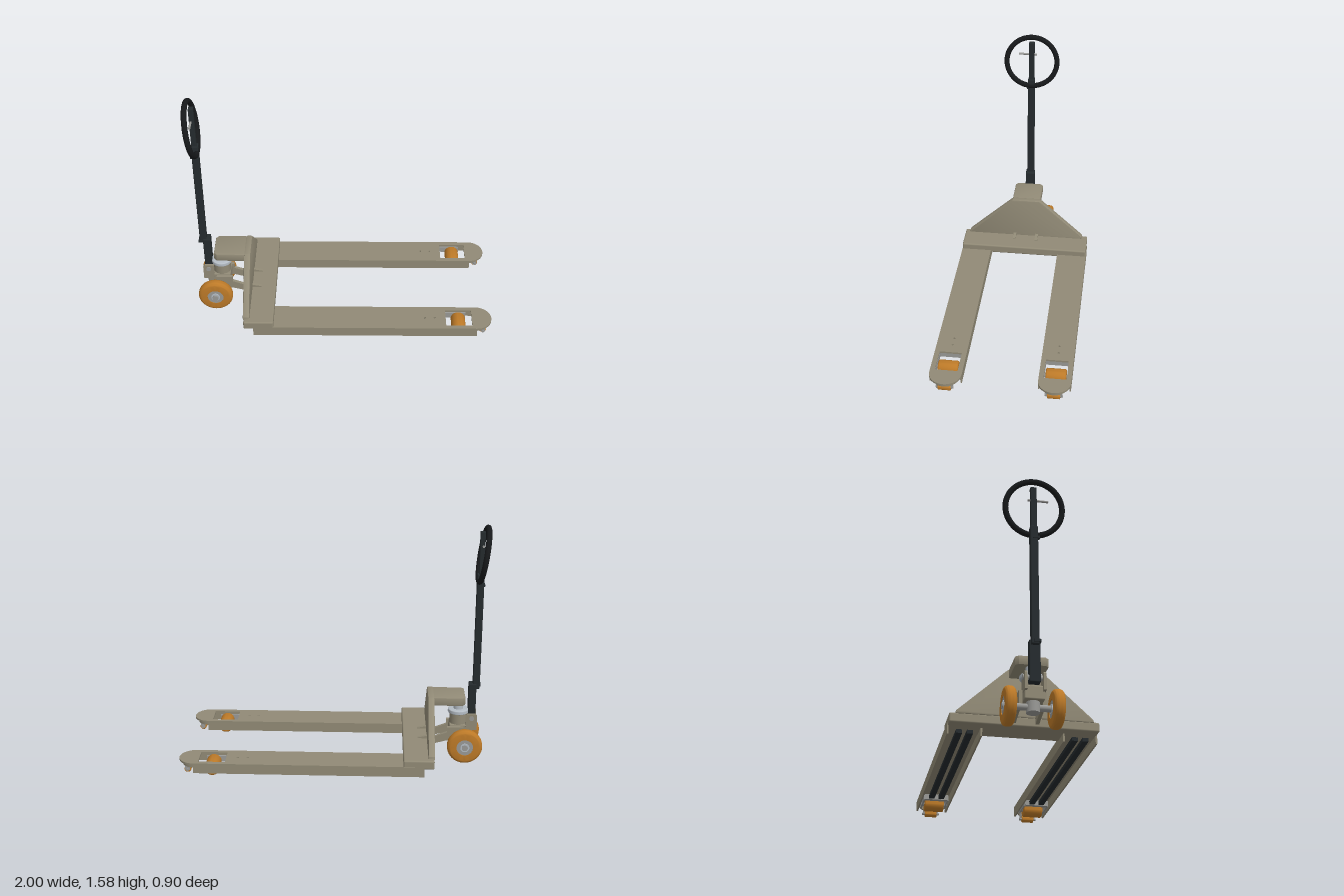
import * as THREE from 'three';
import { RoundedBoxGeometry } from 'three/addons/geometries/RoundedBoxGeometry.js';
import { toCreasedNormals } from 'three/addons/utils/BufferGeometryUtils.js';

const paint = (color) => new THREE.MeshStandardMaterial({ color, side: THREE.DoubleSide });
const BODY = paint(0x918a76), DARK = paint(0x252b2e), BLACK = paint(0x17191b);
const TYRE = paint(0xbd7a28), STEEL = paint(0x999996), CHROME = paint(0xb4bcc4);

function add(parent, name, geo, mat, x = 0, y = 0, z = 0) {
  const m = new THREE.Mesh(geo, mat);
  m.name = name;
  m.position.set(x, y, z);
  parent.add(m);
  return m;
}

// Box given by its limits on each axis; r rounds the edges
function box(parent, name, mat, [x0, x1], [y0, y1], [z0, z1], r = 0) {
  const s = [x1 - x0, y1 - y0, z1 - z0];
  const geo = r ? new RoundedBoxGeometry(...s, 2, r) : new THREE.BoxGeometry(...s);
  return add(parent, name, geo, mat, (x0 + x1) / 2, (y0 + y1) / 2, (z0 + z1) / 2);
}

// Cylinder along z, or upright
const rodZ = (r, len) => new THREE.CylinderGeometry(r, r, len, 28).rotateX(Math.PI / 2);
const rodY = (r, len) => new THREE.CylinderGeometry(r, r, len, 32);

// Polygon through [a, b] points
function poly(points) {
  return new THREE.Shape(points.map(([a, b]) => new THREE.Vector2(a, b)));
}

function extrude(shape, depth, bevel = 0) {
  return new THREE.ExtrudeGeometry(shape, {
    depth: depth - 2 * bevel, curveSegments: 20, bevelEnabled: bevel > 0,
    bevelSize: bevel, bevelThickness: bevel, bevelOffset: -bevel, bevelSegments: 2,
  }).translate(0, 0, bevel);
}

// Wheel turning about z, with shoulders rounded by c
function wheelGeo(r, width, c, bore) {
  const w = width / 2, pts = [new THREE.Vector2(bore, -w)];
  for (const [cy, a0] of [[-w + c, -Math.PI / 2], [w - c, 0]]) {
    for (let i = 0; i <= 6; i++) {
      const a = a0 + (i / 6) * Math.PI / 2;
      pts.push(new THREE.Vector2(r - c + c * Math.cos(a), cy + c * Math.sin(a)));
    }
  }
  pts.push(new THREE.Vector2(bore, w), new THREE.Vector2(bore, -w));
  return toCreasedNormals(new THREE.LatheGeometry(pts, 40).rotateX(Math.PI / 2), 0.6);
}

// One fork, built about z = 0
function makeFork() {
  const g = new THREE.Group();
  const h = 0.104, noseX = 0.893;
  const deck = new THREE.Shape();
  deck.moveTo(-0.6, -h);
  deck.lineTo(noseX, -h);
  deck.absarc(noseX, 0, h, -Math.PI / 2, Math.PI / 2, false);
  deck.lineTo(-0.6, h);
  deck.closePath();
  const win = new THREE.Path();
  win.moveTo(0.69, -0.073);
  win.lineTo(0.69, 0.073);
  win.lineTo(0.865, 0.073);
  win.lineTo(0.865, -0.073);
  win.closePath();
  deck.holes.push(win);
  for (const x of [0.55, 0.615]) {
    const hole = new THREE.Path();
    hole.absarc(x, 0, 0.007, 0, Math.PI * 2, true);
    deck.holes.push(hole);
  }
  add(g, 'forkDeck', toCreasedNormals(extrude(deck, 0.012).rotateX(-Math.PI / 2), 0.5), BODY, 0, 0.092, 0);

  for (const s of [-1, 1]) {
    const z = s * (h - 0.005);
    box(g, 'forkSkirt', BODY, [-0.6, 0.895], [0.035, 0.095], [z - 0.005, z + 0.005]);
    box(g, 'pushRod', DARK, [-0.6, 0.66], [0.045, 0.068], [s * 0.032 - 0.018, s * 0.032 + 0.018]);
    box(g, 'rollerBracket', STEEL, [0.64, 0.83], [0.038, 0.078], [s * 0.079 - 0.005, s * 0.079 + 0.005]);
    box(g, 'entryRollerBracket', STEEL, [0.925, 0.955], [0.03, 0.092], [s * 0.047 - 0.004, s * 0.047 + 0.004]);
  }
  box(g, 'rodYoke', STEEL, [0.63, 0.665], [0.04, 0.075], [-0.08, 0.08]);

  // Curved stiffener below the nose
  const rim = new THREE.Shape();
  rim.absarc(noseX, 0, 0.082, -Math.PI / 2, Math.PI / 2, false);
  rim.absarc(noseX, 0, 0.07, Math.PI / 2, -Math.PI / 2, true);
  add(g, 'noseStiffener', toCreasedNormals(extrude(rim, 0.03).rotateX(-Math.PI / 2), 0.5), BODY, 0, 0.064, 0);

  add(g, 'loadRoller', wheelGeo(0.048, 0.132, 0.01, 0.012), TYRE, 0.778, 0.05, 0);
  add(g, 'loadRollerAxle', rodZ(0.013, 0.18), STEEL, 0.778, 0.05, 0);
  add(g, 'entryRoller', wheelGeo(0.022, 0.082, 0.004, 0.007), TYRE, 0.94, 0.034, 0);
  add(g, 'entryRollerAxle', rodZ(0.009, 0.115), STEEL, 0.94, 0.034, 0);
  return g;
}

export function createModel() {
  const model = new THREE.Group();
  model.name = 'palletTruck';

  for (const s of [-1, 1]) {
    const fork = makeFork();
    fork.name = s > 0 ? 'frontFork' : 'backFork';
    fork.position.z = s * 0.346 - 0.003;
    model.add(fork);
  }

  // Cross beam, sloping shield and top arm
  box(model, 'crossBeam', BODY, [-0.665, -0.465], [0.086, 0.146], [-0.45, 0.447], 0.01);
  const shield = poly([[-0.415, 0.14], [0.415, 0.14], [0.41, 0.16], [0.108, 0.438], [0.095, 0.445],
    [-0.095, 0.445], [-0.108, 0.438], [-0.41, 0.16]]);
  add(model, 'shield', toCreasedNormals(extrude(shield, 0.043, 0.007).rotateY(Math.PI / 2), 0.5), BODY, -0.669, 0, 0);
  const arm = poly([[-0.635, -0.1], [-0.635, 0.1], [-0.855, 0.1], [-0.874, 0.08], [-0.874, -0.08], [-0.855, -0.1]]);
  add(model, 'topArm', toCreasedNormals(extrude(arm, 0.057, 0.006).rotateX(-Math.PI / 2), 0.5), BODY, 0, 0.386, 0);
  const gusset = poly([[-0.63, 0.14], [-0.565, 0.14], [-0.565, 0.152], [-0.63, 0.165]]);
  for (const z of [-0.08, 0.08]) add(model, 'gusset', extrude(gusset, 0.02), BODY, 0, 0, z - 0.01);

  // Link arms between the pump and the cross beam
  const link = poly([[-0.87, 0.14], [-0.76, 0.13], [-0.65, 0.1], [-0.58, 0.1], [-0.58, 0.13],
    [-0.66, 0.15], [-0.76, 0.188], [-0.76, 0.225], [-0.87, 0.225]]);
  for (const z of [-0.07, 0.07]) add(model, 'linkArm', extrude(link, 0.022), BODY, 0, 0, z - 0.011);

  // Hydraulic pump
  const pump = new THREE.Group();
  pump.name = 'pump';
  model.add(pump);
  box(pump, 'pumpBase', BODY, [-0.93, -0.775], [0.15, 0.235], [-0.06, 0.06], 0.008);
  add(pump, 'pumpBarrel', rodY(0.058, 0.09), BODY, -0.835, 0.27, 0);
  add(pump, 'pumpCollar', wheelGeo(0.07, 0.028, 0.008, 0.02).rotateX(Math.PI / 2), CHROME, -0.835, 0.32, 0);
  add(pump, 'pumpRam', rodY(0.032, 0.08), CHROME, -0.835, 0.35, 0);
  const ear = poly([[-0.958, 0.2], [-0.885, 0.2], [-0.885, 0.314], [-0.946, 0.314], [-0.958, 0.302]]);
  for (const z of [-0.055, 0.055]) add(pump, 'hingeEar', extrude(ear, 0.016), BODY, 0, 0, z - 0.008);
  add(pump, 'hingePin', rodZ(0.016, 0.14), STEEL, -0.922, 0.284, 0);

  // Steering wheels
  const axleX = -0.875, axleY = 0.119;
  add(model, 'steerAxle', rodZ(0.02, 0.364), STEEL, axleX, axleY, 0);
  add(model, 'steerPivot', rodY(0.04, 0.1), STEEL, axleX, 0.135, 0);
  for (const s of [-1, 1]) {
    const wheel = new THREE.Group();
    wheel.name = 'steerWheel';
    wheel.position.set(axleX, axleY, s * 0.14 - 0.003);
    add(wheel, 'tyre', wheelGeo(0.117, 0.066, 0.026, 0.055), TYRE);
    add(wheel, 'hub', rodZ(0.057, 0.058), STEEL);
    add(wheel, 'hubCap', rodZ(0.03, 0.068), CHROME);
    model.add(wheel);
  }

  // Tiller with ring grip
  const tiller = new THREE.Group();
  tiller.name = 'tiller';
  model.add(tiller);
  box(tiller, 'tillerSocket', DARK, [-0.948, -0.898], [0.25, 0.515], [-0.033, 0.033], 0.005);
  box(tiller, 'tillerPole', DARK, [-0.97, -0.924], [0.48, 1.27], [-0.024, 0.024], 0.006);
  box(tiller, 'tillerHead', DARK, [-0.966, -0.934], [1.25, 1.548], [-0.019, 0.019], 0.004);
  for (const y of [0.5, 1.19]) box(tiller, 'poleStud', DARK, [-0.977, -0.95], [y - 0.008, y + 0.008], [-0.01, 0.033]);
  const ring = add(tiller, 'ringGrip', new THREE.TorusGeometry(0.176, 0.018, 14, 56).rotateY(Math.PI / 2), BLACK, -0.96, 1.395, 0);
  ring.rotation.z = 0.145;
  add(tiller, 'releaseLever', rodZ(0.007, 0.126), STEEL, -0.955, 1.455, 0.028);
  return model;
}
